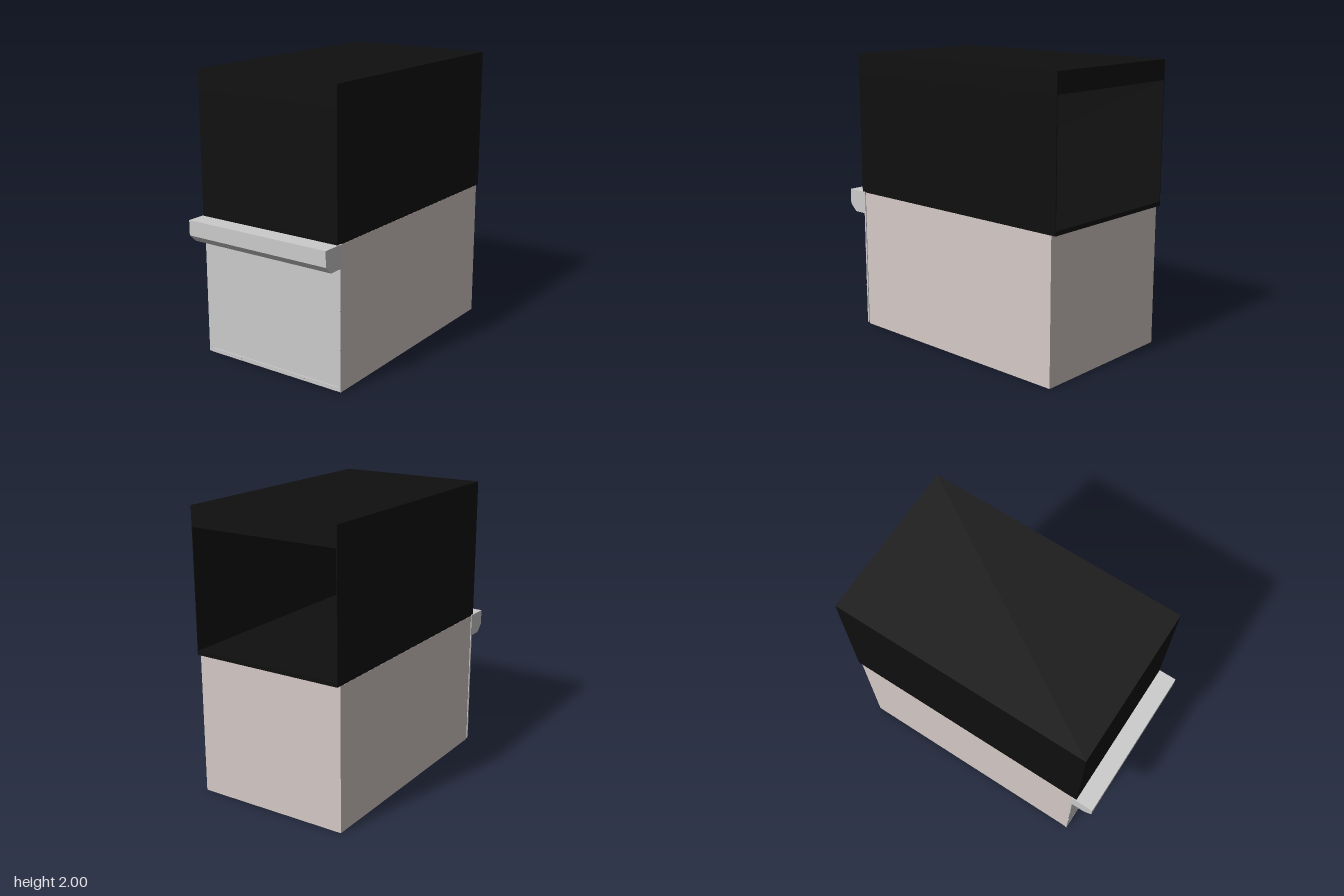
import * as THREE from 'three';

export function createModel() {
  const model = new THREE.Group();
  const grey = new THREE.MeshStandardMaterial({ color: 0xcccccc });
  const beige = new THREE.MeshStandardMaterial({ color: 0xd5cac6 });
  const black = new THREE.MeshStandardMaterial({ color: 0x0f0f0f });

  const add = (name, geometry, material, parent = model) => {
    const mesh = new THREE.Mesh(geometry, material);
    mesh.name = name;
    parent.add(mesh);
    return mesh;
  };
  // Box given by its extents on each axis
  const box = (name, [x0, x1], [y0, y1], [z0, z1], material, parent) =>
    add(name, new THREE.BoxGeometry(x1 - x0, y1 - y0, z1 - z0), material, parent)
      .position.set((x0 + x1) / 2, (y0 + y1) / 2, (z0 + z1) / 2);

  // Lower cabinet body
  box('lowerBody', [-0.557, 0.557], [0, 1], [-0.945, 0.815], beige);

  // Front panel, with a narrow joint above the bottom strip
  box('frontPanel', [-0.563, 0.563], [0.045, 1], [0.815, 0.828], grey);
  box('panelJoint', [-0.54, 0.54], [0.037, 0.045], [0.815, 0.82], grey);
  box('bottomStrip', [-0.563, 0.563], [0.01, 0.037], [0.815, 0.828], grey);
  for (const s of [-1, 1]) {
    box('jointEnd', [s * 0.5515 - 0.0115, s * 0.5515 + 0.0115], [0.037, 0.045], [0.815, 0.828], grey);

    // Small screws in the bottom strip and bumps along the panel edges
    const screw = add('stripScrew', new THREE.CylinderGeometry(0.005, 0.005, 0.016, 12), grey);
    screw.rotation.x = Math.PI / 2;
    screw.position.set(s * 0.27, 0.028, 0.832);
    for (const y of [0.3, 0.565, 0.83]) {
      box('edgeBump', [s * 0.558 - 0.004, s * 0.558 + 0.004], [y - 0.004, y + 0.004], [0.826, 0.832], grey);
    }
  }

  // Full-width handle ledge with a chamfered lower front edge
  const profile = new THREE.Shape([
    [-0.815, 0.845], [-0.815, 1.004], [-0.98, 1.004], [-0.98, 0.897], [-0.925, 0.845],
  ].map(([x, y]) => new THREE.Vector2(x, y)));
  const ledge = new THREE.ExtrudeGeometry(profile, { depth: 1.126, bevelEnabled: false });
  ledge.translate(0, 0, -0.563).rotateY(Math.PI / 2);
  add('handleLedge', ledge, grey);

  // Upper hood: a box open at the back, with a deep top
  const hood = new THREE.Group();
  hood.name = 'upperHood';
  model.add(hood);
  const w = 0.556, t = 0.006, back = -0.976, front = 0.85;
  box('hoodTop', [-w, w], [1.86, 2], [back, front], black, hood);
  box('hoodFloor', [-w, w], [1, 1.03], [back, front], black, hood);
  box('hoodFront', [-w, w], [1.03, 1.86], [front - 0.02, front], black, hood);
  for (const s of [-1, 1]) {
    const x = s * (w - t / 2);
    box('hoodSide', [x - t / 2, x + t / 2], [1.03, 1.86], [back, front - 0.02], black, hood);
  }
  return model;
}
